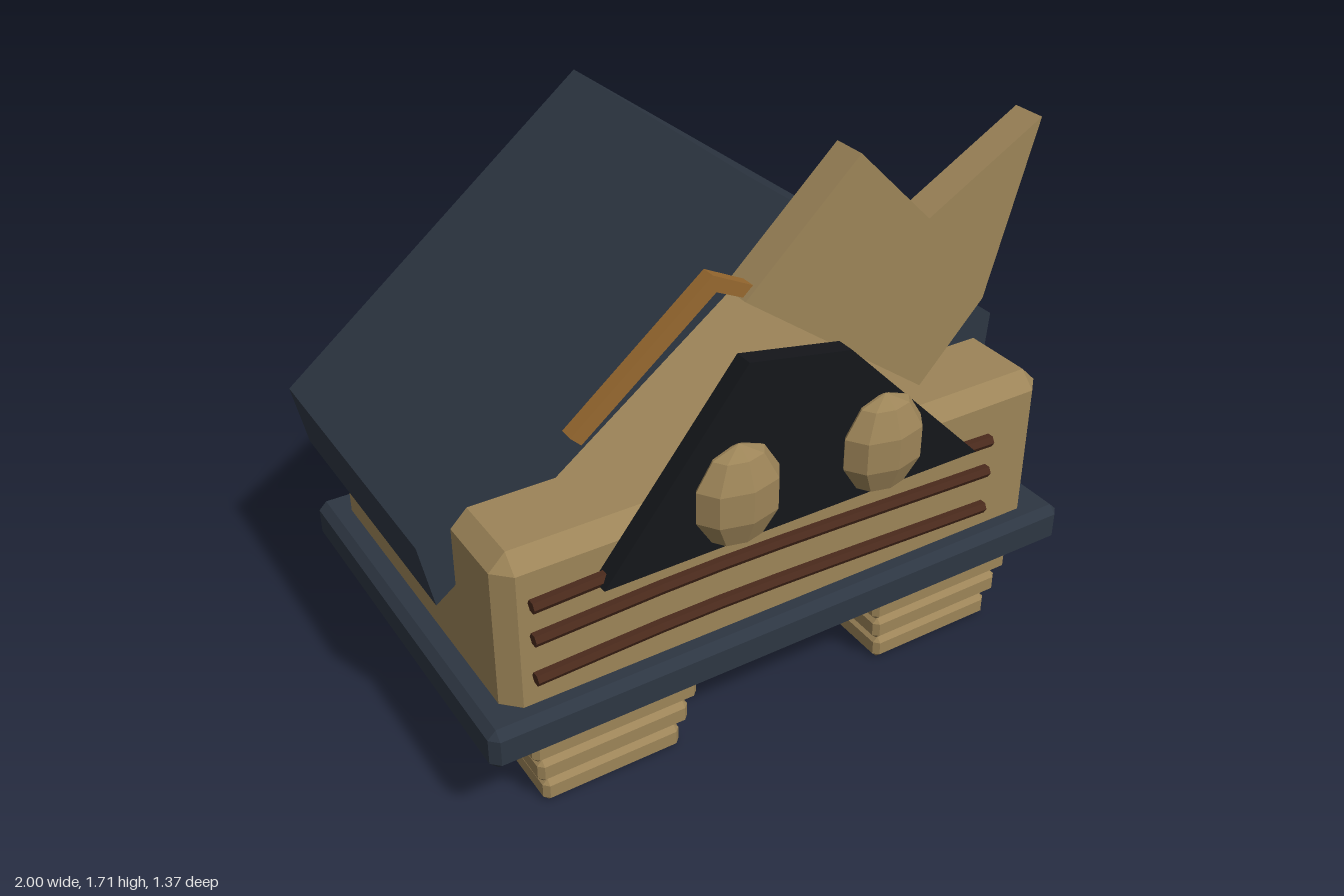
import * as THREE from 'three';
import { ConvexGeometry } from 'three/addons/geometries/ConvexGeometry.js';

const mat = (color) => new THREE.MeshStandardMaterial({ color, flatShading: true });
const tan = mat(0x9c8458);
const slate = mat(0x2d3642);
const black = mat(0x14161a);
const brown = mat(0x4a2a1c);
const orange = mat(0x96682f);

function add(parent, name, geometry, material) {
  const mesh = new THREE.Mesh(geometry, material);
  mesh.name = name;
  parent.add(mesh);
  return mesh;
}

// Box between two corners with every edge chamfered by b
function chamferBox([x0, y0, z0], [x1, y1, z1], b) {
  const c = [(x0 + x1) / 2, (y0 + y1) / 2, (z0 + z1) / 2];
  const h = [(x1 - x0) / 2, (y1 - y0) / 2, (z1 - z0) / 2];
  const points = [];
  for (const sx of [-1, 1]) for (const sy of [-1, 1]) for (const sz of [-1, 1]) {
    for (let full = 0; full < 3; full++) {
      const p = [sx, sy, sz].map((s, i) => c[i] + s * (h[i] - (i === full ? 0 : b)));
      points.push(new THREE.Vector3(...p));
    }
  }
  return new ConvexGeometry(points);
}

// Flat outline in x, y extruded from z0 to z1
function plate(outline, z0, z1) {
  const shape = new THREE.Shape(outline.map(([x, y]) => new THREE.Vector2(x, y)));
  const g = new THREE.ExtrudeGeometry(shape, { depth: z1 - z0, bevelEnabled: false });
  return g.translate(0, 0, z0);
}

export function createModel() {
  const model = new THREE.Group();
  model.name = 'house';

  // Main block on its base slab
  add(model, 'body', chamferBox([-0.9, 0.36, -0.6], [0.92, 0.89, 0.54], 0.05), tan);
  add(model, 'base', chamferBox([-0.975, 0.278, -0.665], [1, 0.408, 0.6], 0.025), slate);

  // Two feet of three stacked slabs, tapering downwards
  for (const [side, cx] of [['right', -0.568], ['left', 0.588]]) {
    const foot = new THREE.Group();
    foot.name = side + 'Foot';
    for (let i = 0; i < 3; i++) {
      const half = 0.222 + i * 0.02;
      const y = i * 0.094;
      const z = i * 0.016;
      add(foot, 'footSlab' + (i + 1),
        chamferBox([cx - half, y, -0.12 + z], [cx + half, y + 0.076, 0.51 + z], 0.016), tan);
    }
    model.add(foot);
  }

  // Uneven gable roof, open underneath
  add(model, 'roof', plate([
    [-1, 0.815], [-0.96, 0.612], [0, 1.33], [0.915, 0.775], [0.93, 0.96], [0.01, 1.63],
  ], -0.685, 0.265), slate);

  // Forked fin standing in front of the roof
  add(model, 'fin', plate([
    [-0.12, 1.38], [0.49, 0.94], [0.7, 1.165], [0.85, 1.685], [0.475, 1.47], [0.23, 1.713],
  ], 0.36, 0.465), tan);

  // Dark face panel
  add(model, 'facePanel', plate([
    [-0.63, 0.745], [0.61, 0.745], [0.13, 1.23], [-0.195, 1.29],
  ], 0.543, 0.6), black);

  // Faceted eyes
  for (const [side, x] of [['right', -0.23], ['left', 0.246]]) {
    const eye = add(model, side + 'Eye', new THREE.SphereGeometry(1, 8, 5), tan);
    eye.scale.set(0.137, 0.157, 0.083);
    eye.position.set(x, 0.91, 0.61);
  }

  // Three slightly bowed bars across the front
  const section = new THREE.Shape();
  for (let i = 0; i < 6; i++) {
    const a = (i / 6) * Math.PI * 2;
    section[i ? 'lineTo' : 'moveTo'](0.02 * Math.cos(a), 0.02 * Math.sin(a));
  }
  [0.765, 0.657, 0.526].forEach((y, i) => {
    const path = new THREE.CatmullRomCurve3([
      new THREE.Vector3(-0.82, y - 0.017, 0.56),
      new THREE.Vector3(-0.28, y, 0.562),
      new THREE.Vector3(0.7, y - 0.032, 0.56),
    ]);
    add(model, 'frontBar' + (i + 1),
      new THREE.ExtrudeGeometry(section, { steps: 8, extrudePath: path, bevelEnabled: false }), brown);
  });

  // Bent stick beside the fin, turned slightly forward towards the fin
  const stick = plate([
    [-0.62, 1.112], [-0.59, 1.083], [-0.195, 1.42], [-0.095, 1.375], [-0.085, 1.412], [-0.205, 1.47],
  ], 0.392, 0.437);
  const p = stick.attributes.position;
  for (let i = 0; i < p.count; i++) p.setZ(i, p.getZ(i) + 0.04 * (p.getX(i) + 0.35));
  stick.computeVertexNormals();
  add(model, 'bentStick', stick, orange);

  return model;
}
